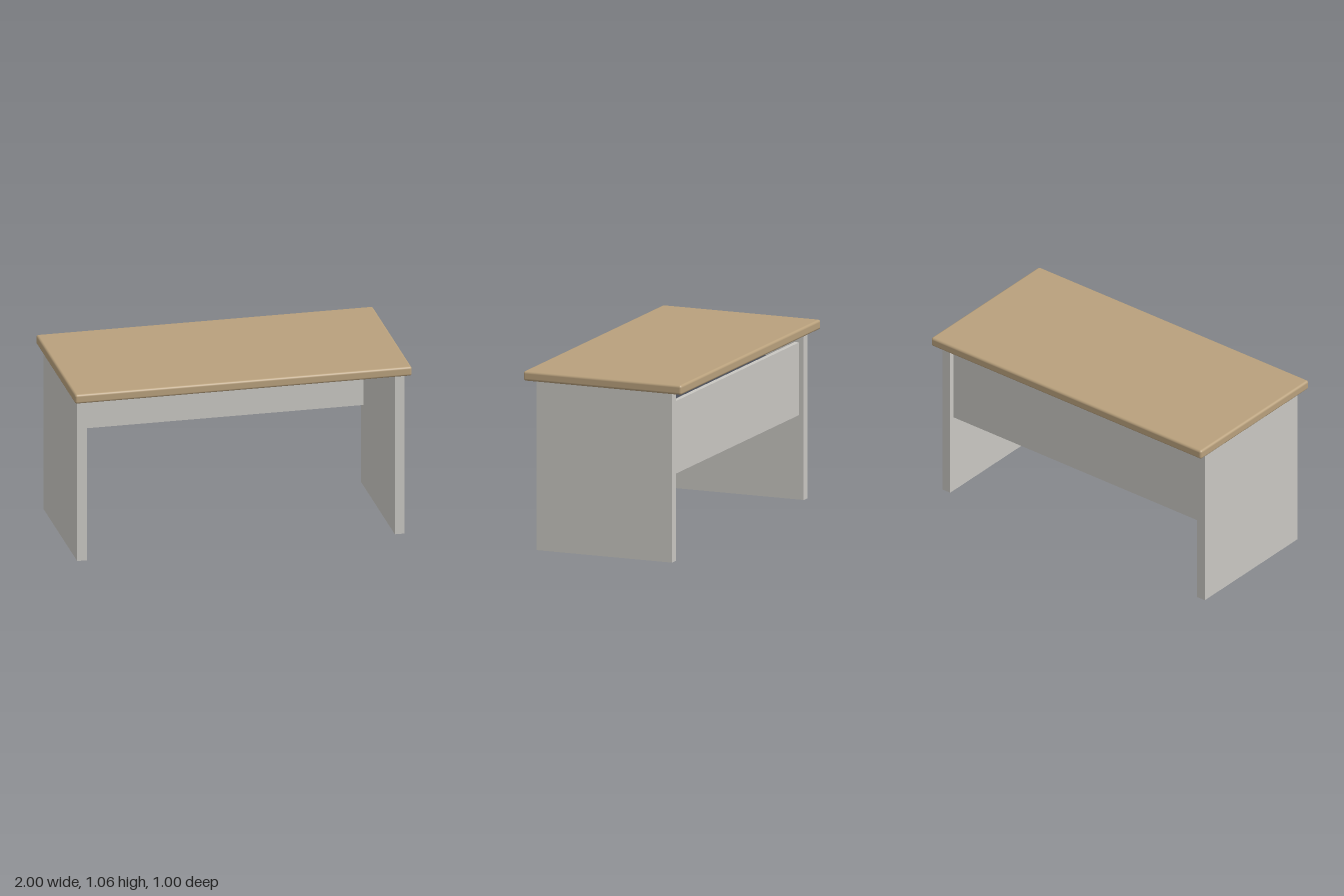
import * as THREE from 'three';
import { RoundedBoxGeometry } from 'three/addons/geometries/RoundedBoxGeometry.js';

const material = (name, color) => {
  const m = new THREE.MeshStandardMaterial({ color });
  m.name = name;
  return m;
};

export function createModel() {
  const wood = material('wood', 0xb8a07c);
  const paleGrey = material('paleGrey', 0xc8c6c1);
  const darkGrey = material('darkGrey', 0x4a4e58);

  const desk = new THREE.Group();
  desk.name = 'desk';
  const add = (name, geometry, mat, x, y, z) => {
    const mesh = new THREE.Mesh(geometry, mat);
    mesh.name = name;
    mesh.position.set(x, y, z);
    desk.add(mesh);
  };

  // Desktop with softly rounded edges
  add('desktop', new RoundedBoxGeometry(2, 0.057, 1, 4, 0.0143), wood, 0, 1.0285, 0);

  // Slab legs, one at each end
  for (const [name, side] of [['leftLeg', 1], ['rightLeg', -1]]) {
    add(name, new THREE.BoxGeometry(0.057, 1, 0.857), paleGrey, side * 0.9425, 0.5, 0);
  }

  // Modesty panel between the legs, just inside their back edges
  add('modestyPanel', new THREE.BoxGeometry(1.828, 0.429, 0.029), paleGrey, 0, 0.7145, -0.3855);

  // Cable tray on the inner side of the panel, set just into it
  add('cableTray', new THREE.BoxGeometry(1.286, 0.086, 0.16), darkGrey, 0, 0.857, -0.309);

  return desk;
}
